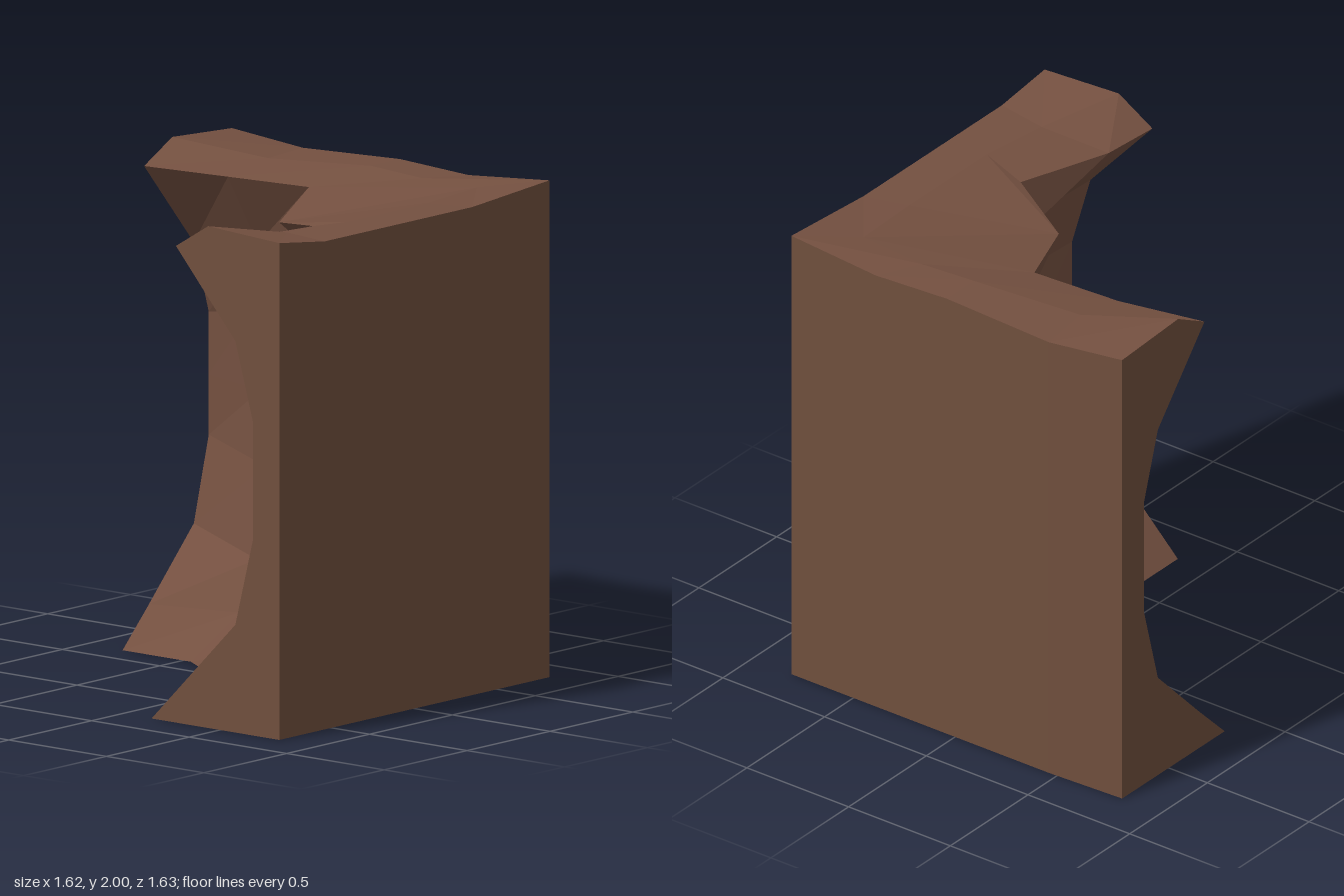
import * as THREE from 'three';

// Columns run round the hollow, from the left end to the front end.
// Each row holds one [x, y, z] point per column.
const L = -0.81, F = 0.815, R = 0.805, B = -0.815;
const wallRows = [
  // foot, fanning out from one point in the corner
  [[L, 0, -0.14], [-0.46, 0, -0.14], [-0.08, 0, 0.1], [-0.08, 0, 0.1], [-0.08, 0, 0.1], [0.15, 0, 0.45], [0.15, 0, F]],
  // ledge
  [[L, 0.16, -0.3], [-0.4, 0.17, -0.36], [0.05, 0.13, -0.36], [0.17, 0.155, -0.14], [0.28, 0.18, 0.08], [0.37, 0.18, 0.42], [0.31, 0.16, F]],
  [[L, 0.44, -0.57], [-0.42, 0.36, -0.49], [0.08, 0.39, -0.43], [0.22, 0.33, -0.18], [0.42, 0.35, 0.1], [0.51, 0.38, 0.5], [0.58, 0.43, F]],
  // hollow
  [[L, 0.78, -0.66], [-0.46, 0.71, -0.59], [-0.02, 0.72, -0.51], [0.27, 0.7, -0.33], [0.49, 0.69, 0.03], [0.61, 0.72, 0.5], [0.67, 0.78, F]],
  [[L, 1.02, -0.66], [-0.52, 1, -0.63], [-0.12, 1.06, -0.57], [0.29, 1, -0.39], [0.49, 1.05, 0.03], [0.63, 1.02, 0.52], [0.67, 1.02, F]],
  [[L, 1.27, -0.66], [-0.57, 1.31, -0.64], [0, 1.26, -0.55], [0.33, 1.28, -0.38], [0.55, 1.25, 0], [0.65, 1.28, 0.55], [0.67, 1.25, F]],
  [[L, 1.56, -0.57], [-0.44, 1.61, -0.52], [0.04, 1.55, -0.46], [0.29, 1.58, -0.28], [0.44, 1.61, 0.02], [0.55, 1.6, 0.45], [0.58, 1.56, F]],
];
const lip = [[L, 1.91, -0.27], [-0.44, 1.905, -0.34], [-0.05, 1.91, -0.37], [0.12, 1.85, 0.01], [0.43, 1.9, 0.17], [0.31, 1.885, 0.58], [0.275, 1.9, F]];

// The top has two more columns, to carry it round the outer corner
const topRows = [
  [0, 1, 2, 2, 3, 3, 4, 5, 6].map((i) => lip[i]),
  [[L, 2, -0.44], [-0.43, 1.945, -0.57], [0.04, 1.965, -0.64], [0.3, 1.95, -0.64], [0.6, 1.955, -0.62], [0.62, 1.945, -0.3], [0.62, 1.945, 0.2], [0.58, 1.945, 0.5], [0.44, 2, F]],
  [[L, 1.98, -0.8], [-0.46, 1.945, B], [0.04, 1.965, B], [0.39, 1.947, B], [R, 1.98, B], [R, 1.945, -0.35], [R, 1.945, 0.15], [R, 1.945, 0.54], [R, 1.98, F]],
];
const rim = topRows[2];
const base = rim.map(([x, , z]) => [x, 0, z]);

// Faceted skin stretched over successive rows
function skin(name, rows, material) {
  const pos = [];
  for (let r = 0; r < rows.length - 1; r++) {
    for (let c = 0; c < rows[r].length - 1; c++) {
      const a = rows[r][c], b = rows[r][c + 1], d = rows[r + 1][c + 1], e = rows[r + 1][c];
      pos.push(...a, ...b, ...d, ...a, ...d, ...e);
    }
  }
  const geo = new THREE.BufferGeometry();
  geo.setAttribute('position', new THREE.Float32BufferAttribute(pos, 3));
  geo.computeVertexNormals();
  const mesh = new THREE.Mesh(geo, material);
  mesh.name = name;
  return mesh;
}

// Flat outline drawn in two of the three axes
const outline = (points, u, v) => new THREE.ShapeGeometry(
  new THREE.Shape(points.map((p) => new THREE.Vector2(p[u], p[v]))));

export function createModel() {
  const group = new THREE.Group();
  group.name = 'cliffCorner';
  const rock = new THREE.MeshStandardMaterial({ name: 'rock brown', color: 0x745040, flatShading: true });
  const cut = new THREE.MeshStandardMaterial({ name: 'cut earth brown', color: 0x704f3d, flatShading: true });

  // Eroded face, top and outer sides
  group.add(skin('erodedFace', [...wallRows, lip], rock));
  group.add(skin('topSurface', topRows, rock));
  group.add(skin('outerSides', [rim, base], cut));

  // Flat ends follow the profile of the first and last columns
  const rings = [...wallRows, ...topRows, base];
  const addFlat = (name, geo) => {
    const mesh = new THREE.Mesh(geo, cut);
    mesh.name = name;
    group.add(mesh);
  };
  addFlat('frontEnd', outline(rings.map((row) => row.at(-1)), 0, 1).translate(0, 0, F));
  addFlat('sideEnd', outline(rings.map((row) => row[0]), 2, 1).rotateY(-Math.PI / 2).translate(L, 0, 0));

  // Underside between the foot and the outer edge
  const foot = [0, 1, 2, 5, 6].map((i) => wallRows[0][i]);
  addFlat('underside', outline([...foot, ...[...base].reverse()], 0, 2).rotateX(Math.PI / 2));
  return group;
}
